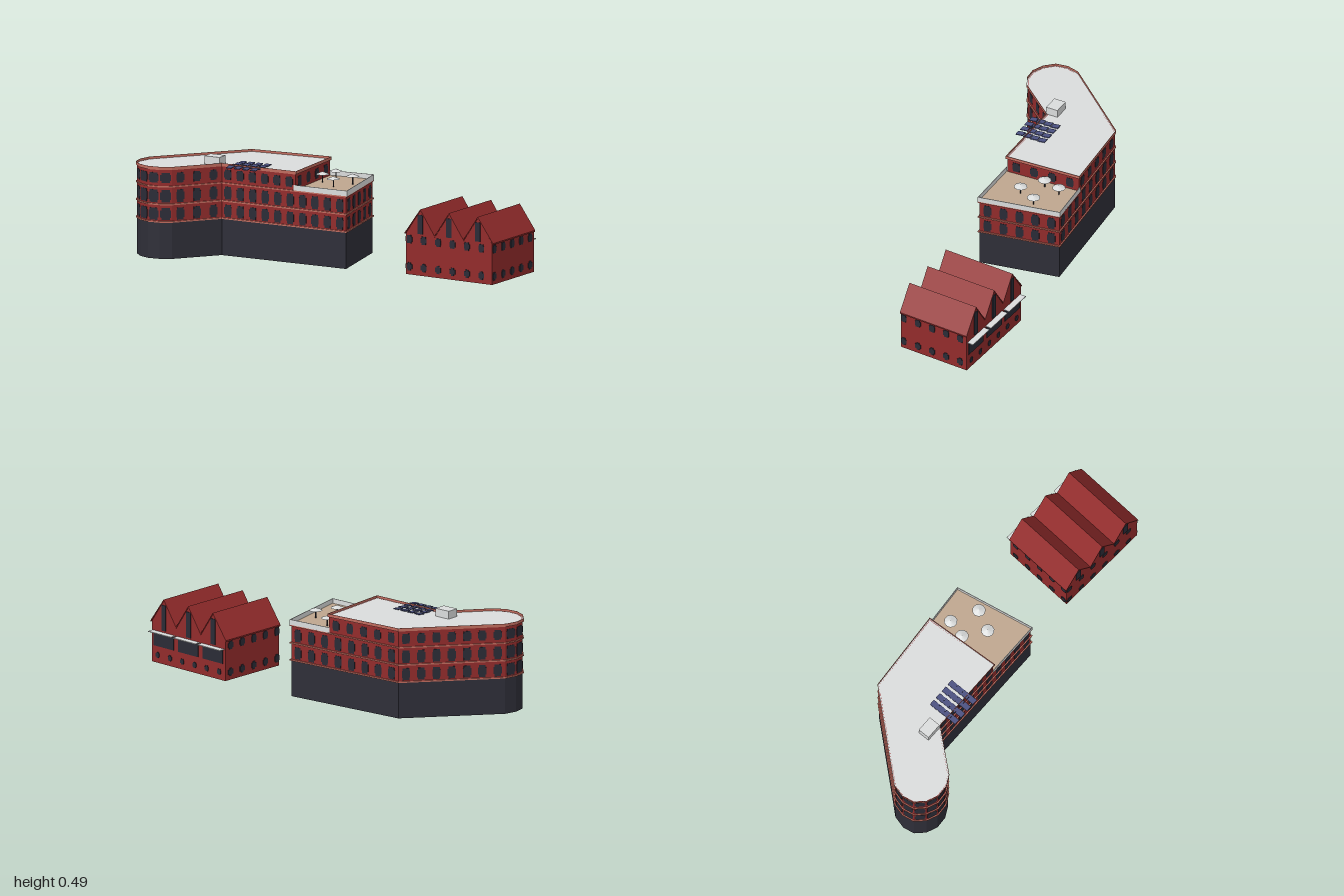
import * as THREE from 'three';

const mat = (name, color, side = THREE.FrontSide) => {
  const m = new THREE.MeshStandardMaterial({ color, side });
  m.name = name;
  return m;
};

export function createModel() {
  const brick = mat('brick red', 0x922b2b);
  const stone = mat('charcoal base', 0x2e2e38);
  const glass = mat('dark glass', 0x2a2b36);
  const trim = mat('pink trim', 0xc06b5e);
  const grey = mat('light grey', 0xdadcdc, THREE.DoubleSide);
  const deck = mat('tan deck', 0xbea68e, THREE.DoubleSide);
  const solar = mat('solar blue', 0x4a5080);

  const root = new THREE.Group();
  root.name = 'brickBuildings';

  const add = (parent, name, geo, material, x = 0, y = 0, z = 0) => {
    const m = new THREE.Mesh(geo, material);
    m.name = name;
    m.position.set(x, y, z);
    parent.add(m);
    return m;
  };
  const group = (parent, name, x, y, z, ry) => {
    const g = new THREE.Group();
    g.name = name;
    g.position.set(x, y, z);
    g.rotation.y = ry;
    parent.add(g);
    return g;
  };

  // Plan outlines are [x, z] points; shapes lie in (x, -z) and are turned flat
  const toVec = pts => pts.map(([x, z]) => new THREE.Vector2(x, -z));
  const flat = pts => new THREE.ShapeGeometry(new THREE.Shape(toVec(pts))).rotateX(-Math.PI / 2);
  const rise = (shape, h) =>
    new THREE.ExtrudeGeometry(shape, { depth: h, bevelEnabled: false }).rotateX(-Math.PI / 2);

  // Mitred offset of an outline, positive outwards
  const offset = (pts, d) => pts.map((p, i) => {
    const a = pts[(i + pts.length - 1) % pts.length], b = pts[(i + 1) % pts.length];
    const n = (s, e) => {
      const l = Math.hypot(e[0] - s[0], e[1] - s[1]);
      return [(e[1] - s[1]) / l, -(e[0] - s[0]) / l];
    };
    const n1 = n(a, p), n2 = n(p, b);
    const k = d / (1 + n1[0] * n2[0] + n1[1] * n2[1]);
    return [p[0] + (n1[0] + n2[0]) * k, p[1] + (n1[1] + n2[1]) * k];
  });
  // Hollow wall or band; the hole runs against the outline so its faces look inwards
  const ring = (parent, name, pts, y0, y1, out, inn, material) => {
    const s = new THREE.Shape(toVec(offset(pts, out)));
    s.holes.push(new THREE.Path(toVec(offset(pts, inn)).reverse()));
    return add(parent, name, rise(s, y1 - y0), material, 0, y0, 0);
  };

  // Window plate with narrower head and foot; k = relative head width
  const plate = (w, h, k) => {
    const a = w / 2, b = a * k, c = h / 2, d = h * 0.3;
    const pts = [[-b, -c], [b, -c], [b, -d], [a, -d], [a, d], [b, d],
      [b, c], [-b, c], [-b, d], [-a, d], [-a, -d], [-b, -d]];
    const s = new THREE.Shape(pts.map(p => new THREE.Vector2(...p)));
    return new THREE.ExtrudeGeometry(s, { depth: 0.005, bevelEnabled: false }).translate(0, 0, -0.0025);
  };
  // Evenly spaced windows along the wall from a to b, the first at fraction t0
  const windows = (parent, name, a, b, n, y, w, h, k = 0.8, t0 = 0.5 / n, step = 1 / n) => {
    const dx = b[0] - a[0], dz = b[1] - a[1], l = Math.hypot(dx, dz);
    const geo = k === 1 ? new THREE.BoxGeometry(w, h, 0.005) : plate(w, h, k);
    for (let i = 0; i < n; i++) {
      const t = t0 + i * step;
      const m = add(parent, name, geo, glass,
        a[0] + dx * t - dz / l * 0.001, y, a[1] + dz * t + dx / l * 0.001);
      m.rotation.y = Math.atan2(-dz, dx);
    }
  };

  // ---- Main building ----
  const main = group(root, 'mainBuilding', 0, 0, 0, 0);
  const bend = [[-0.58, -0.05], [-0.80, 0.09], [-0.86, 0.10], [-0.92, 0.085], [-0.966, 0.045],
    [-0.993, -0.01], [-0.985, -0.07], [-0.95, -0.125]];
  const bendCounts = [3, 1, 1, 1, 1, 1, 1, 7];
  const plan = [[-0.5, -0.40], [0.13, -0.246], [0.08, 0.16], ...bend];
  const topPlan = [[-0.5, -0.40], [-0.092, -0.30], [-0.19, 0.074], ...bend];
  const counts = [8, 5, 10, ...bendCounts], topCounts = [5, 4, 6, ...bendCounts];

  ring(main, 'baseWall', plan, 0, 0.185, 0, -0.002, stone);
  ring(main, 'middleWall', plan, 0.185, 0.362, 0, -0.002, brick);
  ring(main, 'topWall', topPlan, 0.362, 0.447, 0, -0.002, brick);
  for (const y of [0.181, 0.268]) ring(main, 'trimBand', plan, y, y + 0.007, 0.006, -0.001, trim);
  ring(main, 'trimBand', plan, 0.357, 0.363, 0.006, -0.001, trim);
  ring(main, 'roofCornice', topPlan, 0.443, 0.459, 0.006, 0.0045, trim);
  add(main, 'flatRoof', flat(offset(topPlan, 0.005)), grey, 0, 0.447, 0);

  const facade = (outline, nums, y, h) => outline.forEach((p, i) => {
    const round = nums[i] === 1;
    windows(main, 'window', p, outline[(i + 1) % outline.length], nums[i], y, round ? 0.053 : 0.041, h);
  });
  facade(plan, counts, 0.223, 0.06);
  facade(plan, counts, 0.312, 0.063);
  facade(topPlan, topCounts, 0.403, 0.05);

  // Roof terrace with a parapet on its three open sides
  const terrace = [[-0.092, -0.30], [0.13, -0.246], [0.08, 0.16], [-0.19, 0.074]];
  add(main, 'terraceDeck', flat(offset(terrace, 0.0035)), deck, 0, 0.366, 0);
  const rim = [...offset(terrace, 0.006), ...offset(terrace, 0.003).reverse()];
  add(main, 'terraceParapet', rise(new THREE.Shape(toVec(rim)), 0.028), grey, 0, 0.362, 0);
  for (const [x, z] of [[-0.045, -0.21], [0.06, -0.105], [-0.095, -0.13], [-0.02, -0.025]]) {
    add(main, 'parasol', new THREE.ConeGeometry(0.033, 0.013, 10), grey, x, 0.413, z);
    add(main, 'parasolPole', new THREE.CylinderGeometry(0.003, 0.003, 0.042, 6), stone, x, 0.387, z);
  }

  // Rooftop box and slightly tilted solar panels
  const turn = Math.atan2(-0.3, 0.95);
  const hut = group(main, 'rooftopBox', -0.621, 0.466, -0.084, turn);
  add(hut, 'box', new THREE.BoxGeometry(0.084, 0.042, 0.062), grey);
  const array = group(main, 'solarArray', -0.443, 0.452, -0.03, turn);
  for (let i = 0; i < 4; i++) for (let j = 0; j < 4; j++) {
    const p = add(array, 'solarPanel', new THREE.BoxGeometry(0.03, 0.004, 0.039), solar,
      (i - 1.5) * 0.045, 0, (j - 1.5) * 0.0405);
    p.rotation.x = 0.12;
  }

  // ---- Gabled hall ----
  const L = 0.498, D = 0.378, eave = 0.203, ridge = 0.326;
  const hall = group(root, 'gabledHall', 0.39, 0, 0.22, Math.atan2(-0.18, 0.465));
  const zigzag = [];
  for (let i = 0; i <= 6; i++) zigzag.push([L * i / 6, i % 2 ? ridge : eave]);
  const prism = (pts, depth, z) => {
    const s = new THREE.Shape(pts.map(p => new THREE.Vector2(...p)));
    return new THREE.ExtrudeGeometry(s, { depth, bevelEnabled: false }).translate(0, 0, z);
  };
  add(hall, 'hallWalls', prism([[0, 0], [L, 0], ...[...zigzag].reverse()], D, -D), brick);

  // Thin roof sheet following the three gables
  const sheet = dy => zigzag.map(([x, y], i) => [x + (i === 0 ? -0.006 : i === 6 ? 0.006 : 0), y + dy]);
  add(hall, 'sawtoothRoof', prism([...sheet(-0.003), ...sheet(0.004).reverse()], D + 0.006, -D - 0.003), brick);

  const c = [[0, 0], [L, 0], [L, -D], [0, -D]];
  for (const [y, k] of [[0.04, 0.5], [0.176, 0.75]]) {
    windows(hall, 'frontWindow', c[0], c[1], 6, y, 0.032, 0.04, k, 0.04, 0.167);
    windows(hall, 'rightWindow', c[1], c[2], 5, y, 0.032, 0.04, k, 0.045, 0.215);
    windows(hall, 'leftWindow', c[3], c[0], 5, y, 0.032, 0.04, k, 0.095, 0.215);
  }
  windows(hall, 'frontGableSlot', c[0], c[1], 3, 0.255, 0.03, 0.095, 1);
  windows(hall, 'backGableSlot', c[2], c[3], 3, 0.235, 0.03, 0.13, 1);
  windows(hall, 'backGlazing', c[2], c[3], 3, 0.12, 0.136, 0.07, 1);
  windows(hall, 'backWindow', c[2], c[3], 6, 0.04, 0.024, 0.028, 0.6);

  // Canopies over the back glazing
  for (let i = 0; i < 3; i++) {
    add(hall, 'canopy', new THREE.BoxGeometry(0.152, 0.004, 0.032), grey,
      L * (i + 0.5) / 3, 0.159, -D - 0.016);
  }
  return root;
}
